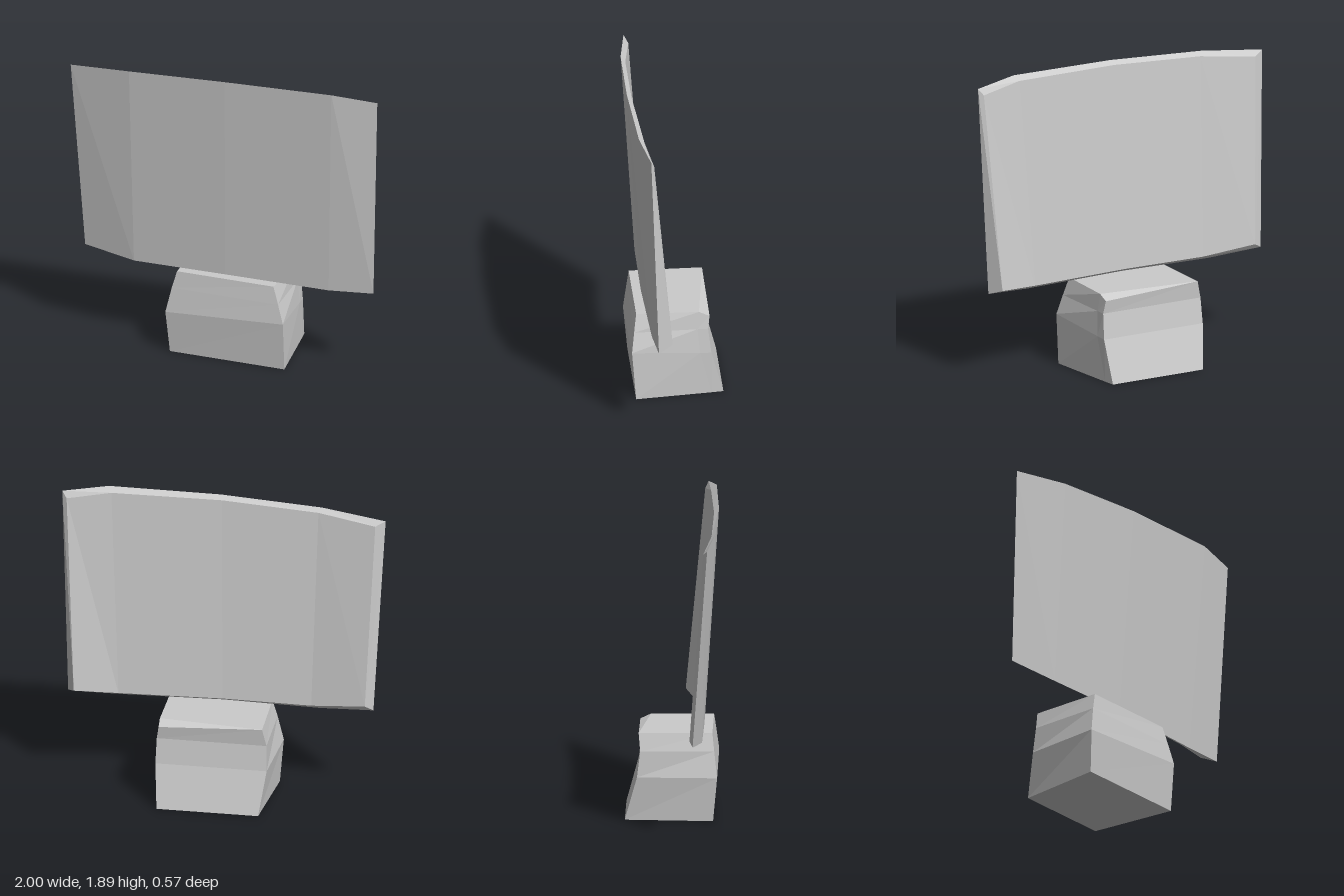
import * as THREE from 'three';

// Flat-shaded skin over cross-sections; each ring runs counter-clockwise about the loft direction
function loft(name, rings) {
  const out = [];
  const tri = (a, b, c) => out.push(...a, ...b, ...c);
  const n = rings[0].length;
  for (let i = 0; i < rings.length - 1; i++) {
    const a = rings[i], b = rings[i + 1];
    for (let j = 0; j < n; j++) {
      const k = (j + 1) % n;
      tri(a[j], a[k], b[k]);
      tri(a[j], b[k], b[j]);
    }
  }
  const first = rings[0], last = rings[rings.length - 1];
  for (let j = 1; j < n - 1; j++) {
    tri(first[0], first[j + 1], first[j]);
    tri(last[0], last[j], last[j + 1]);
  }
  const geometry = new THREE.BufferGeometry();
  geometry.setAttribute('position', new THREE.Float32BufferAttribute(out, 3));
  geometry.computeVertexNormals();
  const mesh = new THREE.Mesh(geometry, new THREE.MeshStandardMaterial({ color: 0xcccccc, flatShading: true }));
  mesh.name = name;
  return mesh;
}

export function createModel() {
  const group = new THREE.Group();

  // Curved, forward-leaning board: front top, front bottom, back bottom, back top per column
  group.add(loft('board', [
    [[-1, 1.80, 0.23], [-0.94, 0.57, 0.14], [-0.89, 0.60, 0.12], [-0.94, 1.77, 0.205]],
    [[-0.6, 1.84, 0.277], [-0.6, 0.537, 0.192], [-0.55, 0.56, 0.165], [-0.58, 1.815, 0.25]],
    [[0.03, 1.875, 0.285], [0, 0.545, 0.197], [0, 0.565, 0.165], [0.02, 1.85, 0.255]],
    [[0.72, 1.89, 0.26], [0.67, 0.54, 0.178], [0.64, 0.565, 0.135], [0.70, 1.86, 0.225]],
    [[1, 1.86, 0.205], [0.955, 0.555, 0.155], [0.905, 0.59, 0.067], [0.97, 1.82, 0.185]],
  ]));

  // Chunky base: right chamfer, back right, back left, front left, front right per level
  group.add(loft('base', [
    [[0.342, 0, -0.21], [0.33, 0, -0.285], [-0.30, 0, -0.285], [-0.34, 0, 0.255], [0.41, 0, 0.255]],
    [[0.358, 0.275, -0.14], [0.35, 0.27, -0.21], [-0.34, 0.27, -0.21], [-0.36, 0.27, 0.28], [0.41, 0.31, 0.28]],
    [[0.348, 0.43, -0.125], [0.345, 0.43, -0.19], [-0.335, 0.43, -0.19], [-0.325, 0.43, 0.262], [0.373, 0.43, 0.265]],
    [[0.335, 0.54, -0.135], [0.332, 0.51, -0.2], [-0.31, 0.54, -0.2], [-0.295, 0.54, 0.25], [0.337, 0.54, 0.25]],
  ]));

  return group;
}
